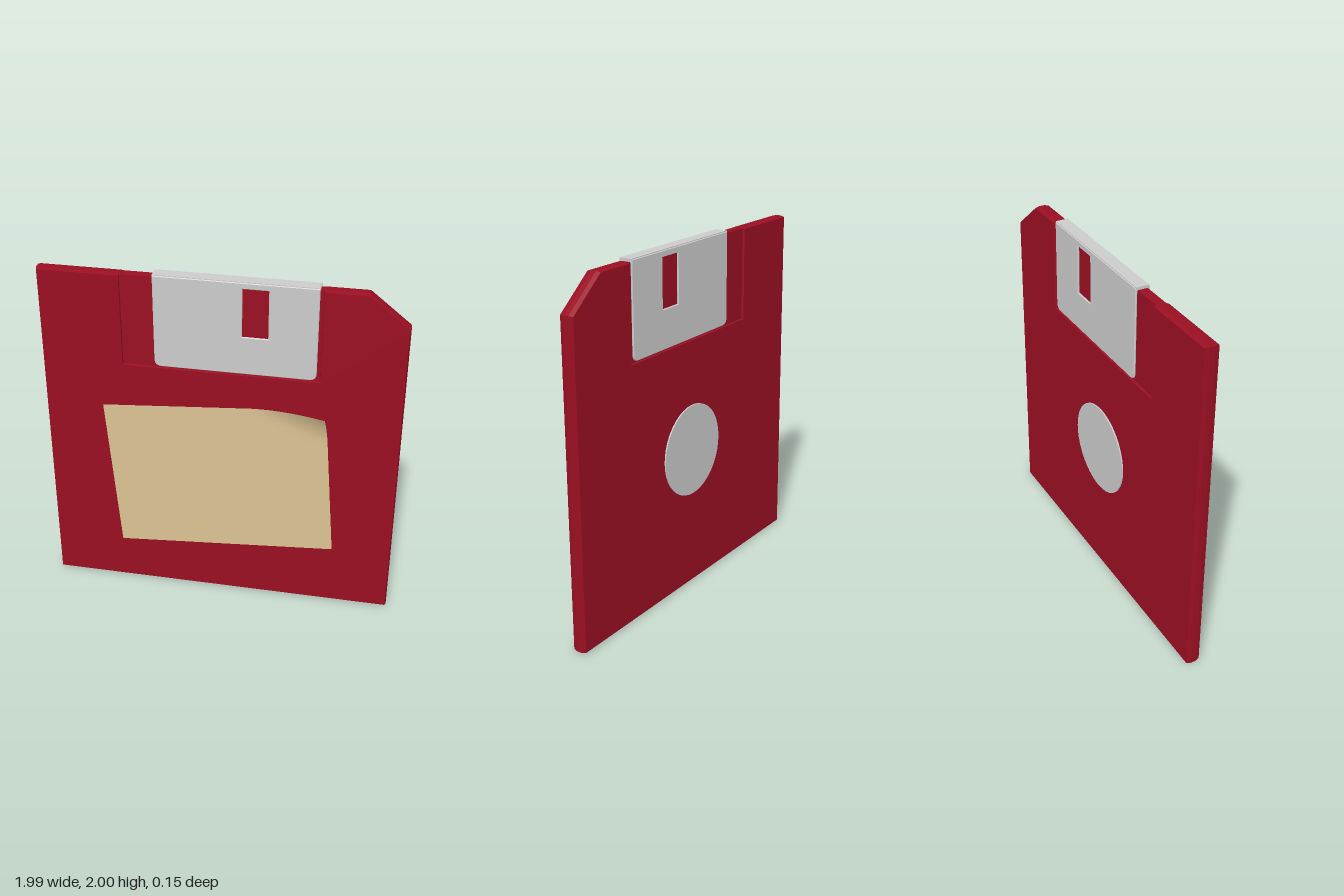
import * as THREE from 'three';

const HALF = 0.04; // half thickness of the case

function shapeFrom(points) {
  return new THREE.Shape(points.map(([x, y]) => new THREE.Vector2(x, y)));
}

// Extrusion centred on z = 0, with a chamfer that stays inside the outline
function slab(shape, thickness, chamferDepth, chamferInset) {
  const geometry = new THREE.ExtrudeGeometry(shape, {
    depth: thickness - 2 * chamferDepth,
    bevelEnabled: chamferDepth > 0,
    bevelThickness: chamferDepth,
    bevelSize: chamferInset,
    bevelOffset: -chamferInset,
    bevelSegments: 1,
    curveSegments: 8,
  });
  geometry.translate(0, 0, chamferDepth - thickness / 2);
  return geometry;
}

// Shutter plate: rounded lower corners and a rectangular window
function shutterShape() {
  const x0 = -0.36, x1 = 0.523, y0 = 1.465, y1 = 1.995, r = 0.04;
  const s = new THREE.Shape();
  s.moveTo(x0, y1);
  s.lineTo(x0, y0 + r);
  s.quadraticCurveTo(x0, y0, x0 + r, y0);
  s.lineTo(x1 - r, y0);
  s.quadraticCurveTo(x1, y0, x1, y0 + r);
  s.lineTo(x1, y1);
  s.closePath();
  s.holes.push(new THREE.Path([
    new THREE.Vector2(0.12, 1.685), new THREE.Vector2(0.12, 1.96),
    new THREE.Vector2(0.26, 1.96), new THREE.Vector2(0.26, 1.685),
  ]));
  return s;
}

// Crooked paper sheet whose upper corner peels away
function labelGeometry() {
  const w = 1.254, h = 0.923;
  const geometry = new THREE.PlaneGeometry(w, h, 40, 32);
  geometry.rotateZ(0.08);
  const p = geometry.attributes.position;
  const uv = geometry.attributes.uv;
  for (let i = 0; i < p.count; i++) {
    const fromRight = (1 - uv.getX(i)) * w;
    const fromTop = (1 - uv.getY(i)) * h;
    const t = Math.max(0, 1 - fromRight / 0.42 - fromTop / 0.2);
    p.setY(i, p.getY(i) - 0.03 * t * t);
    p.setZ(i, 0.058 * Math.pow(t, 1.5));
  }
  geometry.computeVertexNormals();
  return geometry;
}

export function createModel() {
  const root = new THREE.Group();
  root.name = 'floppyDisk';
  const disk = new THREE.Group();
  disk.name = 'disk';
  root.add(disk);

  const red = new THREE.MeshStandardMaterial({ color: 0x9a0f22 });
  const grey = new THREE.MeshStandardMaterial({ color: 0xcccccc });
  const paper = new THREE.MeshStandardMaterial({ color: 0xdcc294, side: THREE.DoubleSide });

  const add = (name, geometry, material, x = 0, y = 0, z = 0) => {
    const mesh = new THREE.Mesh(geometry, material);
    mesh.name = name;
    mesh.position.set(x, y, z);
    disk.add(mesh);
    return mesh;
  };

  // Case with a clipped corner and a notch for the shutter track
  const outline = shapeFrom([
    [-0.995, 0], [0.995, 0], [0.995, 1.81], [0.775, 1.985], [0.54, 1.985],
    [0.54, 1.46], [-0.535, 1.46], [-0.535, 1.985], [-0.995, 1.985],
  ]);
  add('case', slab(outline, 2 * HALF, 0.025, 0.006), red);

  // Thinner track filling the notch, recessed on both faces
  add('shutterTrack', new THREE.BoxGeometry(1.11, 0.535, 0.056), red, 0.0025, 1.715, 0);

  // Shutter: one plate per face, joined by a strip over the top edge
  for (const side of [1, -1]) {
    const name = side > 0 ? 'shutterFront' : 'shutterBack';
    add(name, slab(shutterShape(), 0.012, 0.004, 0.004), grey, 0, 0, side * 0.034);
  }
  add('shutterTop', new THREE.BoxGeometry(0.883, 0.02, 0.072), grey, 0.0815, 1.989, 0);

  // Metal hub standing slightly proud of the back
  const hub = add('hub', new THREE.CylinderGeometry(0.265, 0.265, 0.02, 40), grey, 0, 0.82, -HALF + 0.002);
  hub.rotation.x = Math.PI / 2;

  // Peeling label on the front
  add('label', labelGeometry(), paper, -0.0025, 0.78, HALF + 0.002);

  // The whole disk leans very slightly forward
  disk.rotation.x = 0.0075;
  disk.position.z = -0.033;
  return root;
}
